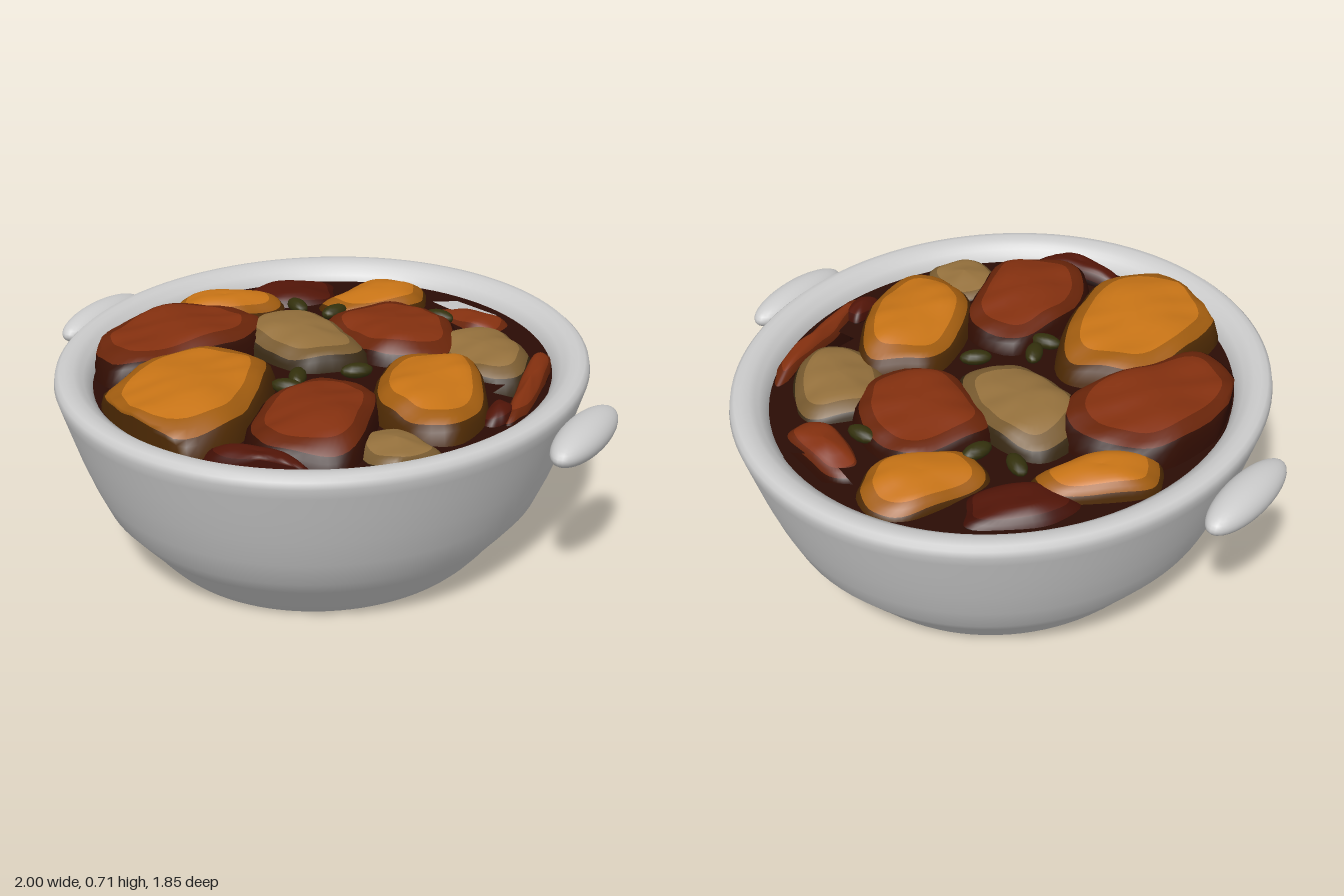
import * as THREE from 'three';

const OVAL = 1.075; // the bowl is slightly longer front to back
const RED = 0x84300f, ORANGE = 0xc87416, TAN = 0x94703c, DARK = 0x521508, GREEN = 0x33300c;

const v2 = (pairs) => pairs.map(([x, y]) => new THREE.Vector2(x, y));
const grey = () => new THREE.MeshStandardMaterial({ color: 0xcccccc });
const softPower = (s) => Math.sign(s) * Math.abs(s) ** 0.8;

function addMesh(parent, name, geometry, material) {
  const mesh = new THREE.Mesh(geometry, material);
  mesh.name = name;
  parent.add(mesh);
  return mesh;
}

function ovalLathe(points) {
  return new THREE.LatheGeometry(v2(points), 96).scale(1, 1, OVAL);
}

// Keeps a point inside the bowl's inner wall
function insideBowl(x, z) {
  const r = Math.hypot(x, z / OVAL);
  const k = r > 0.738 ? 0.738 / r : 1;
  return [x * k, z * k];
}

const lumps = (x, z) =>
  0.007 * Math.sin(17 * x + 6 * z) + 0.006 * Math.sin(21 * z - 9 * x + 1) + 0.003 * Math.sin(43 * x + 31 * z);

// Domed piece: a rounded, tapered outline in rings, darkening towards its edge
function addChunk(parent, name, color, top, cx, cz, length, width, angle, taper) {
  const n = 48;
  const rings = [0, 0.15, 0.3, 0.45, 0.6, 0.72, 0.83, 0.91, 0.97, 1.02, 1.05];
  const pos = [], idx = [];
  for (const t of rings) {
    for (let i = 0; i < n; i++) {
      const a = (i / n) * Math.PI * 2;
      const wobble = t * (1 + 0.05 * Math.sin(3 * a + 20 * cx) + 0.03 * Math.sin(5 * a + 30 * cz));
      const u = length * softPower(Math.cos(a)) * wobble;
      const v = width * softPower(Math.sin(a)) * (1 + taper * Math.cos(a)) * wobble;
      const [x, z] = insideBowl(
        cx + u * Math.cos(angle) - v * Math.sin(angle),
        cz + u * Math.sin(angle) + v * Math.cos(angle));
      const drop = 0.035 * t * t + 0.035 * t ** 8 + Math.max(0, t - 1) * 1.1;
      pos.push(x, top - drop + lumps(x, z) * Math.min(1, t * 2), z);
    }
  }
  for (let r = 0; r < rings.length - 1; r++) {
    for (let i = 0; i < n; i++) {
      const a = r * n + i, b = r * n + (i + 1) % n;
      idx.push(a, b + n, a + n, a, b, b + n);
    }
  }
  const g = new THREE.BufferGeometry();
  g.setAttribute('position', new THREE.Float32BufferAttribute(pos, 3));
  g.setIndex(idx);
  g.computeVertexNormals();
  // Bands: bright flesh, browned flesh, charred edge
  const materials = [[0, 5, 1], [5, 7, 0.62], [7, 10, 0.13]].map(([from, to, shade], i) => {
    g.addGroup(from * n * 6, (to - from) * n * 6, i);
    return new THREE.MeshStandardMaterial({
      color: new THREE.Color(color).multiplyScalar(shade), side: THREE.DoubleSide,
    });
  });
  addMesh(parent, name, g, materials);
}

export function createModel() {
  const model = new THREE.Group();
  model.name = 'casseroleBowl';

  // Bowl: flat underside, flared wall, rounded rim and inner wall
  const bowl = new THREE.Group();
  bowl.name = 'bowl';
  model.add(bowl);
  addMesh(bowl, 'underside', ovalLathe([[0, 0], [0.555, 0]]), grey());
  addMesh(bowl, 'wallAndRim', ovalLathe([
    [0.555, 0], [0.575, 0.02], [0.6, 0.05], [0.63, 0.09], [0.68, 0.15], [0.727, 0.21], [0.765, 0.3],
    [0.8, 0.4], [0.83, 0.5], [0.852, 0.575], [0.862, 0.61], [0.858, 0.632], [0.845, 0.644], [0.825, 0.647],
    [0.8, 0.643], [0.782, 0.632], [0.77, 0.62], [0.752, 0.605], [0.742, 0.57], [0.72, 0.48],
    [0.66, 0.28], [0.58, 0.13], [0.48, 0.08], [0, 0.07],
  ]), grey());

  // Side handles
  for (const side of [1, -1]) {
    const handle = addMesh(model, side > 0 ? 'leftHandle' : 'rightHandle',
      new THREE.SphereGeometry(1, 32, 20), grey());
    handle.scale.set(0.072, 0.058, 0.21);
    handle.position.set(side * 0.928, 0.566, 0);
  }

  // Dark broth with two openings showing the bowl beneath
  const stew = new THREE.Group();
  stew.name = 'stew';
  model.add(stew);
  const broth = new THREE.Shape().absellipse(0, 0, 0.742, 0.742 * OVAL, 0, Math.PI * 2);
  broth.holes = [
    [[0.04, -0.7], [0.12, -0.75], [0.3, -0.7], [0.2, -0.64]],
    [[0.6, -0.42], [0.69, -0.15], [0.66, -0.1], [0.57, -0.1]],
  ].map((h) => new THREE.Path(v2(h)));
  const brothMesh = addMesh(stew, 'broth', new THREE.ShapeGeometry(broth, 48).rotateX(Math.PI / 2),
    new THREE.MeshStandardMaterial({ color: 0x2a0c05, side: THREE.DoubleSide }));
  brothMesh.position.y = 0.585;

  // Pieces: top height, centre x and z, half length, half width, turn, taper
  const pieces = {
    meat: [RED, [
      [0.668, 0.09, -0.32, 0.25, 0.21, 0.5, 0],
      [0.696, -0.5, 0.15, 0.33, 0.21, 1.85, -0.1],
      [0.68, 0.22, 0.42, 0.29, 0.19, 1.3, 0],
    ]],
    carrot: [ORANGE, [
      [0.65, -0.13, -0.58, 0.21, 0.14, -1.1, 0.1],
      [0.655, -0.55, -0.23, 0.21, 0.11, -0.85, 0],
      [0.686, 0.43, 0.06, 0.29, 0.18, 1.1, 0.1],
      [0.7, -0.2, 0.48, 0.35, 0.24, 1.4, 0.25],
    ]],
    potato: [TAN, [
      [0.645, 0.42, -0.34, 0.22, 0.16, 0.8, -0.1],
      [0.672, -0.15, -0.1, 0.25, 0.17, 0.35, -0.1],
      [0.635, 0.5, 0.42, 0.14, 0.12, 0.5, 0],
    ]],
    sunkenMeat: [DARK, [
      [0.625, -0.42, -0.48, 0.2, 0.12, -0.8, 0],
      [0.63, 0.66, 0.05, 0.09, 0.05, 1.5, 0],
      [0.64, 0.2, 0.72, 0.2, 0.06, -0.1, 0],
    ]],
    scrap: [RED, [
      [0.62, 0.24, -0.61, 0.18, 0.08, 0.25, 0],
      [0.63, 0.655, -0.2, 0.31, 0.045, 1.35, 0],
    ]],
  };
  for (const [name, [color, list]] of Object.entries(pieces)) {
    for (const piece of list) addChunk(stew, name, color, ...piece);
  }

  // Small green herb pieces between the chunks
  [[0.16, -0.52], [-0.18, -0.37], [-0.32, -0.35], [0.14, 0.03], [0, 0.17], [0.01, 0.25]].forEach(([x, z], i) => {
    const herb = addMesh(stew, 'herb', new THREE.SphereGeometry(1, 12, 8),
      new THREE.MeshStandardMaterial({ color: GREEN }));
    herb.scale.set(0.055, 0.025, 0.03);
    herb.position.set(x, 0.615, z);
    herb.rotation.y = i * 1.3;
  });
  return model;
}
